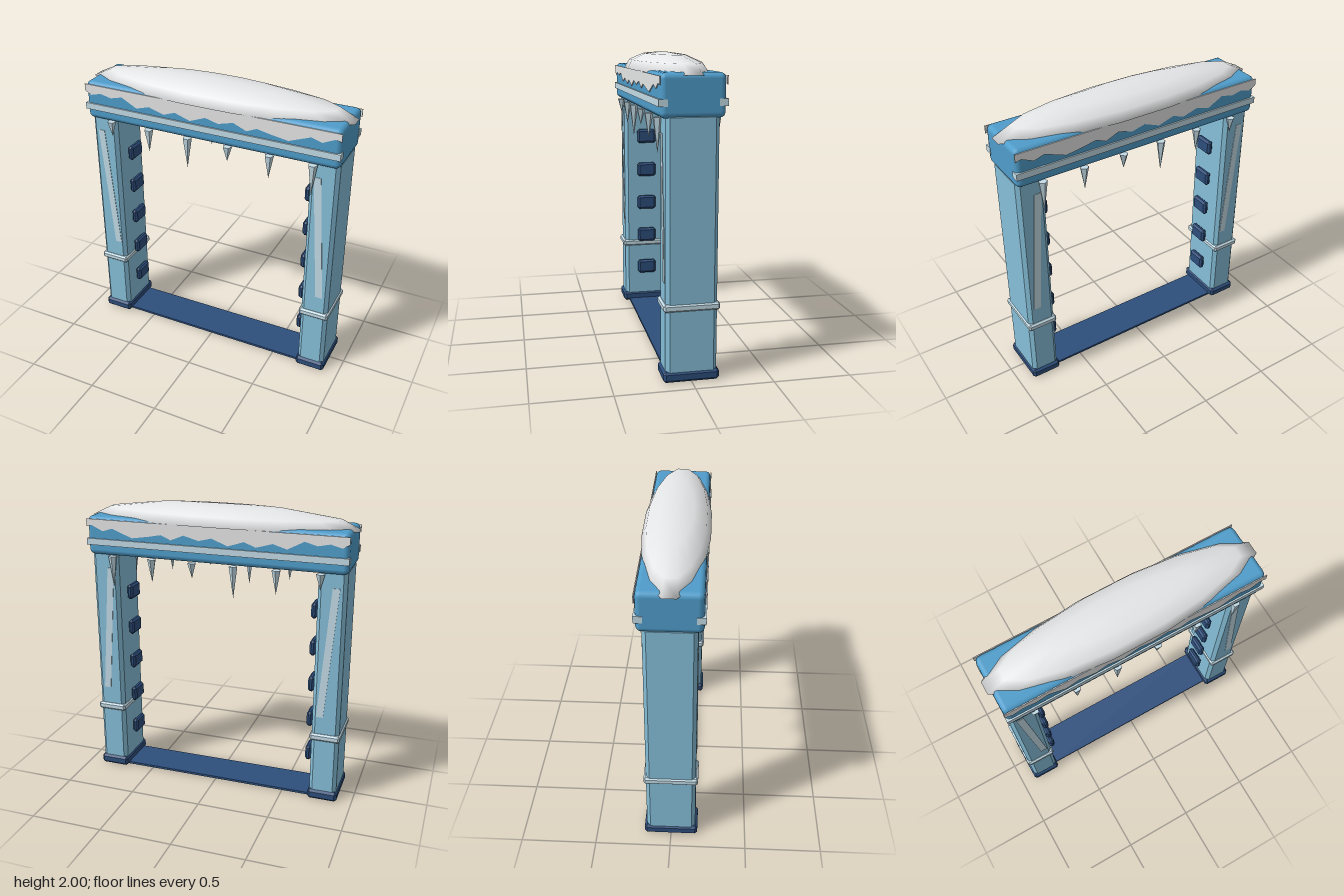
import * as THREE from 'three';
import { RoundedBoxGeometry } from 'three/addons/geometries/RoundedBoxGeometry.js';
import { ConvexGeometry } from 'three/addons/geometries/ConvexGeometry.js';

const mat = (name, color, extra = {}) => {
  const m = new THREE.MeshStandardMaterial({ color, ...extra });
  m.name = name;
  return m;
};

// Box with a 45 degree chamfer on every edge
function chamferBox(w, h, d, c) {
  const pts = [];
  for (const x of [-1, 1]) for (const y of [-1, 1]) for (const z of [-1, 1])
    for (let k = 0; k < 3; k++) {
      pts.push(new THREE.Vector3(
        x * (w / 2 - (k === 0 ? 0 : c)),
        y * (h / 2 - (k === 1 ? 0 : c)),
        z * (d / 2 - (k === 2 ? 0 : c))));
    }
  return new ConvexGeometry(pts);
}

// Thin plate cut from an outline, lying from z = 0 to z = depth
function plate(points, depth) {
  const shape = new THREE.Shape(points.map(([x, y]) => new THREE.Vector2(x, y)));
  return new THREE.ExtrudeGeometry(shape, { depth, bevelEnabled: false });
}

export function createModel() {
  const model = new THREE.Group();
  model.name = 'frozenGate';
  const pillarBlue = mat('pale ice blue', 0x86bfd9);
  const beamBlue = mat('glacier blue', 0x4f9dcb);
  const navy = mat('deep navy', 0x2d4e7c);
  const snow = mat('snow white', 0xeeeff0);
  const frost = mat('frost', 0xc6dfea);

  const add = (name, geometry, material, x = 0, y = 0, z = 0) => {
    const mesh = new THREE.Mesh(geometry, material);
    mesh.name = name;
    mesh.position.set(x, y, z);
    model.add(mesh);
    return mesh;
  };

  // Pillars with foot, band and inner rungs
  const pillarGeo = chamferBox(0.19, 1.62, 0.325, 0.024);
  const footGeo = chamferBox(0.208, 0.07, 0.355, 0.016);
  const bandGeo = chamferBox(0.208, 0.05, 0.355, 0.012);
  const rungGeo = chamferBox(0.042, 0.105, 0.14, 0.014);
  for (const s of [-1, 1]) {
    const side = s > 0 ? 'left' : 'right';
    add(side + 'Pillar', pillarGeo, pillarBlue, s * 0.795, 0.85);
    add(side + 'Foot', footGeo, navy, s * 0.795, 0.035);
    add(side + 'Band', bandGeo, frost, s * 0.795, 0.48);
    for (let i = 0; i < 5; i++)
      add(side + 'Rung', rungGeo, navy, s * 0.664, 0.292 + i * 0.262);
  }

  // Threshold strip between the feet
  add('threshold', new THREE.BoxGeometry(1.4, 0.016, 0.27), navy, 0, 0.011);

  // Beam across the top
  add('beam', new RoundedBoxGeometry(1.796, 0.265, 0.396, 2, 0.035), beamBlue, 0, 1.7625);

  // Snow mound: squashed half sphere with a closed underside
  const mound = new THREE.SphereGeometry(1, 16, 3, 0, Math.PI * 2, 0, Math.PI / 2);
  mound.rotateY(Math.PI / 16).scale(0.943, 0.122, 0.222);
  add('snowMound', mound, snow, 0, 1.878);
  const under = new THREE.CircleGeometry(1, 16);
  under.rotateX(Math.PI / 2).rotateY(Math.PI / 16).scale(0.943, 1, 0.222);
  add('snowUnderside', under, snow, 0, 1.878);

  // Ragged lower edge of the hanging snow
  const edge = [[-0.9, 1.83], [-0.855, 1.805], [-0.78, 1.825], [-0.7, 1.808], [-0.615, 1.83],
    [-0.505, 1.772], [-0.41, 1.8], [-0.3, 1.768], [-0.22, 1.798], [-0.11, 1.762], [0, 1.805],
    [0.09, 1.782], [0.195, 1.81], [0.285, 1.772], [0.355, 1.802], [0.44, 1.785], [0.565, 1.765],
    [0.71, 1.82], [0.78, 1.798], [0.86, 1.835], [0.9, 1.825]];
  const drapeGeo = plate([...edge, [0.9, 1.877], [-0.9, 1.877]], 0.006);

  // Slanted glint on a pillar face
  const glintGeo = plate([[0.8, 0.63], [0.848, 0.63], [0.778, 1.535], [0.73, 1.535]], 0.004);

  // Details repeated on the front and back
  const trimGeo = new THREE.BoxGeometry(1.802, 0.044, 0.054);
  const iceLengths = [0.105, 0.16, 0.215];
  for (const s of [1, -1]) {
    const face = s > 0 ? 'front' : 'back';
    add(face + 'SnowDrape', drapeGeo, snow, 0, 0, s > 0 ? 0.198 : -0.204);
    add(face + 'Trim', trimGeo, frost, 0, 1.722, s * 0.181);
    for (const dx of [0, -1.577])
      add(face + 'Glint', glintGeo, frost, dx, 0, s > 0 ? 0.1615 : -0.1655);
    for (let i = 0; i < 6; i++) {
      const len = iceLengths[i % 3];
      const cone = new THREE.ConeGeometry(0.031, len, 5).toNonIndexed();
      cone.rotateX(Math.PI);
      cone.computeVertexNormals();
      add(face + 'Icicle', cone, frost, -0.722 + i * 0.289, 1.626 - len / 2, s * 0.182);
    }
  }
  return model;
}
